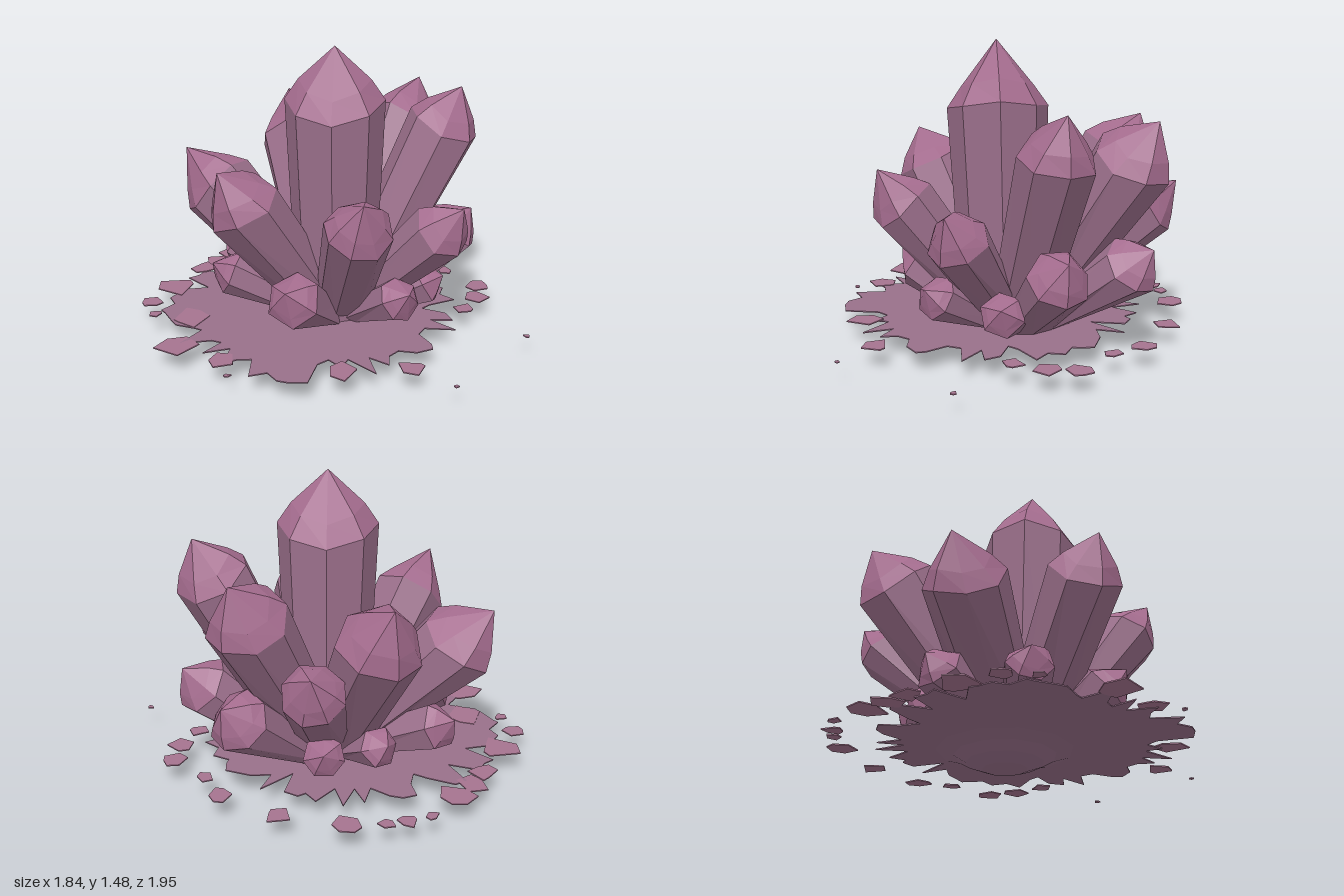
import * as THREE from 'three';

const FLOOR = 0.1;

// small seeded generator for the irregular edges
function seeded(seed) {
  let s = seed;
  return () => (s = (s * 16807) % 2147483647) / 2147483647;
}
const rand = seeded(77);

const mat = (color, side = THREE.FrontSide) =>
  new THREE.MeshStandardMaterial({ color, flatShading: true, side });
const shaftMat = mat(0x9c708c);
const tipMat = mat(0xa46c8e);
const crustMat = mat(0x98708a, THREE.DoubleSide);
const flakeMat = mat(0xa5738f, THREE.DoubleSide);

// One crystal: tapered prism shaft and pointed cap, running from base to tip
function crystal(name, base, tip, r, sides, seed, capRatio, taper) {
  const group = new THREE.Group();
  group.name = name;
  const axis = tip.clone().sub(base);
  const length = axis.length();
  const turn = new THREE.Quaternion().setFromUnitVectors(new THREE.Vector3(0, 1, 0), axis.normalize());
  const cap = Math.min(r * capRatio, length * 0.5);
  const shoulder = length - cap;

  const part = (partName, profile, material) => {
    const geo = new THREE.LatheGeometry(profile.map(([x, y]) => new THREE.Vector2(x, y)), sides, seed);
    const pos = geo.attributes.position;
    const v = new THREE.Vector3();
    for (let i = 0; i < pos.count; i++) {
      v.fromBufferAttribute(pos, i);
      const a = Math.atan2(v.z, v.x);
      // slanted, uneven shoulder
      if (v.y > shoulder - 0.001 && v.y < length - 0.001) {
        v.y += r * 0.13 * Math.sin(2 * a + seed * 1.7);
      }
      v.applyQuaternion(turn).add(base);
      v.y = Math.max(v.y, FLOOR);
      pos.setXYZ(i, v.x, v.y, v.z);
    }
    geo.computeVertexNormals();
    const mesh = new THREE.Mesh(geo, material);
    mesh.name = partName;
    group.add(mesh);
  };
  part('shaft', [[0, 0], [r * taper, 0], [r, shoulder]], shaftMat);
  part('cap', [[r, shoulder], [r * 0.72, shoulder + cap * 0.34], [0, length]], tipMat);
  return group;
}

// Thin irregular plate lying on the floor level
function plate(name, cx, cz, count, radiusAt, y, material) {
  const shape = new THREE.Shape();
  for (let i = 0; i < count; i++) {
    const a = ((i + 0.7 * rand()) / count) * Math.PI * 2;
    const r = radiusAt(a);
    const x = cx + r * Math.cos(a);
    const z = cz + r * Math.sin(a);
    if (i) shape.lineTo(x, -z);
    else shape.moveTo(x, -z);
  }
  const geo = new THREE.ExtrudeGeometry(shape, { depth: 0.006, bevelEnabled: false });
  geo.rotateX(-Math.PI / 2);
  geo.translate(0, y, 0);
  const mesh = new THREE.Mesh(geo, material);
  mesh.name = name;
  return mesh;
}

export function createModel() {
  const model = new THREE.Group();
  model.name = 'crystalCluster';

  // upright centre crystal
  model.add(crystal('mainCrystal', new THREE.Vector3(0.125, FLOOR, 0.01),
    new THREE.Vector3(0.105, 1.48, 0.035), 0.245, 8, 0.3, 1.2, 0.82));

  // leaning crystals: tip x, y, z, radius
  const tall = [
    [0.78, 1.22, 0.08, 0.185],
    [0.8, 1.15, -0.41, 0.195],
    [0.19, 1.06, -0.78, 0.205],
    [0.56, 0.79, -0.72, 0.15],
    [0.54, 0.77, 0.56, 0.15],
    [-0.01, 0.89, 0.62, 0.165],
    [-0.53, 0.96, 0.13, 0.185],
    [-0.47, 0.87, -0.56, 0.2],
  ];
  const low = [
    [0.85, 0.57, 0.11, 0.15],
    [0.84, 0.56, -0.37, 0.15],
  ];
  const small = [
    [-0.29, 0.4, 0.36, 0.14],
    [0.28, 0.36, 0.53, 0.11],
    [0.59, 0.31, 0.3, 0.11],
    [-0.47, 0.37, -0.18, 0.115],
    [-0.25, 0.36, -0.6, 0.12],
    [0.42, 0.31, -0.55, 0.1],
    [0.1, 0.3, -0.58, 0.1],
  ];
  const leaning = (list, name, sides, reach, baseY, capRatio, taper) => list.forEach(([x, y, z, r], i) => {
    const out = new THREE.Vector3(x - 0.15, 0, z + 0.03).normalize();
    const base = new THREE.Vector3(0.15, baseY, -0.03).addScaledVector(out, reach);
    model.add(crystal(name + (i + 1), base, new THREE.Vector3(x, y, z), r,
      sides + (i % 2), 0.4 + i * 0.9, capRatio, taper));
  });
  leaning(tall, 'tallCrystal', 7, 0.1, 0.09, 1.22, 0.82);
  leaning(low, 'lowCrystal', 7, 0.22, 0.09, 1, 0.9);
  leaning(small, 'smallCrystal', 6, 0.2, 0.11, 0.85, 0.87);

  // ragged crust around the foot, widest at the front left
  model.add(plate('crust', 0.02, -0.03, 76,
    (a) => 0.66 + 0.04 * Math.cos(a - 2.6) + (rand() < 0.55 ? 0.08 : -0.09) * (0.3 + rand()),
    FLOOR - 0.003, crustMat));

  // loose flakes around the crust: x, z, radius
  const flakes = [
    [-0.75, 0.1, 0.12], [-0.61, -0.15, 0.11], [-0.76, -0.25, 0.05], [-0.74, -0.4, 0.06],
    [-0.58, -0.53, 0.11], [-0.36, -0.7, 0.08], [-0.26, -0.76, 0.08], [-0.13, -0.82, 0.12],
    [0.06, -0.92, 0.04], [0.18, -0.9, 0.06], [0.27, -0.88, 0.05], [0.44, -0.82, 0.08],
    [0.67, -0.6, 0.07], [0.85, -0.32, 0.07], [0.85, -0.14, 0.06], [0.92, 0.08, 0.07],
    [0.85, 0.22, 0.07], [0.72, 0.31, 0.06], [0.2, 0.75, 0.08], [-0.6, 0.32, 0.08],
    [-0.12, 0.66, 0.09], [-0.62, 0.47, 0.02], [0.85, 0.69, 0.02], [0.29, 0.98, 0.015],
  ];
  flakes.forEach(([x, z, r], i) => model.add(plate('flake' + (i + 1), x, z, 5 + (i % 2),
    () => r * (0.6 + 0.5 * rand()), FLOOR - 0.003 + (i % 3) * 0.003, flakeMat)));

  // shallow faceted bowl under the crust
  const bowl = new THREE.LatheGeometry([[0, 0], [0.11, 0.004], [0.19, 0.035], [0.25, 0.07], [0.34, FLOOR]]
    .map(([x, y]) => new THREE.Vector2(x, y)), 11);
  const under = new THREE.Mesh(bowl, crustMat);
  under.name = 'underside';
  under.position.set(0.17, 0, -0.08);
  model.add(under);

  return model;
}
